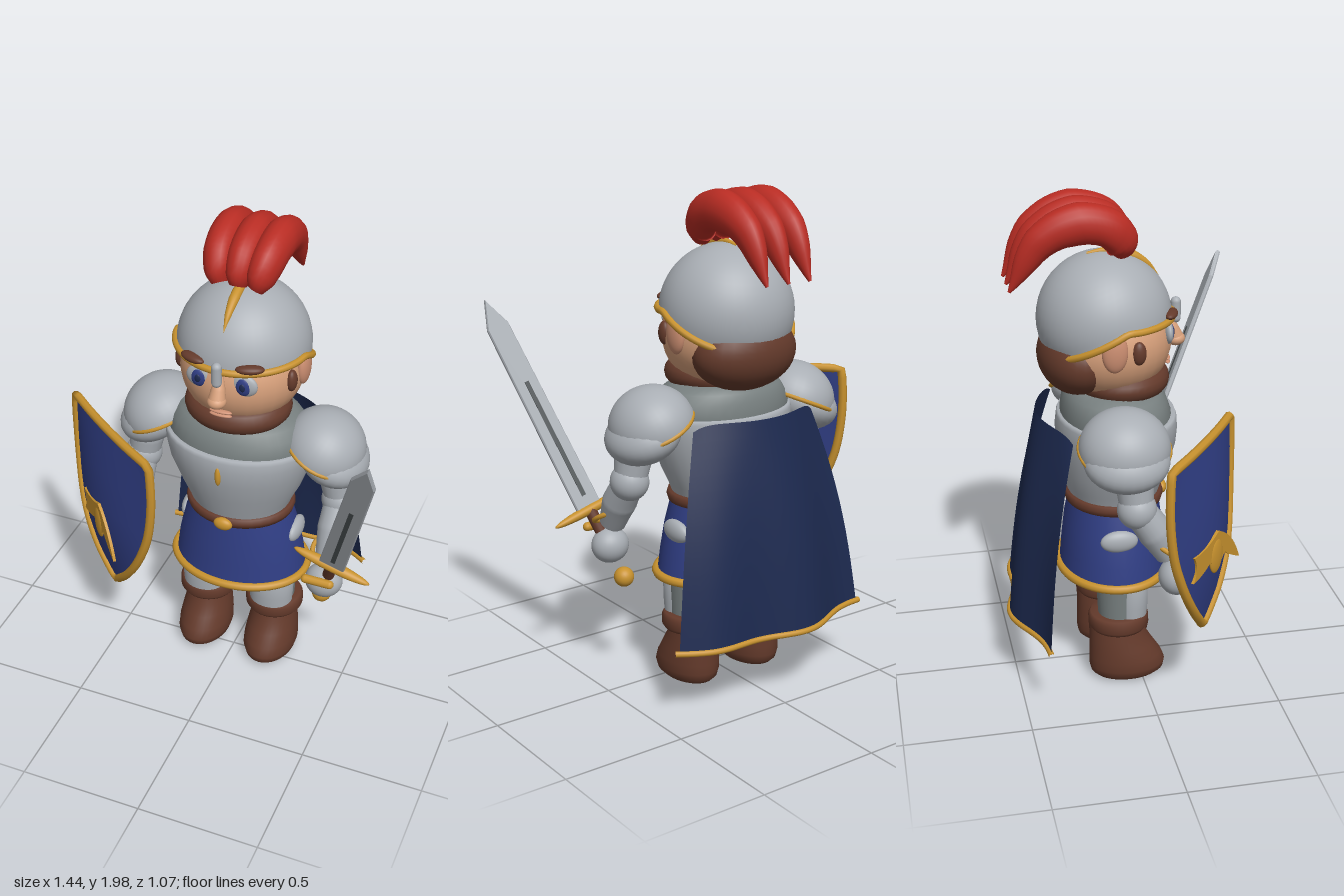
import * as THREE from 'three';
import { mergeVertices } from 'three/addons/utils/BufferGeometryUtils.js';

const mat = (name, color, side = THREE.FrontSide) =>
  Object.assign(new THREE.MeshStandardMaterial({ color, side }), { name });
const V = (x, y, z) => new THREE.Vector3(x, y, z);

// Smooth surface from a rule f(u, v) -> Vector3; seams are welded
function surface(f, nu, nv) {
  const g = new THREE.PlaneGeometry(1, 1, nu, nv), p = g.attributes.position;
  for (let i = 0; i < p.count; i++) {
    const q = f(p.getX(i) + 0.5, p.getY(i) + 0.5);
    p.setXYZ(i, q.x, q.y, q.z);
  }
  g.deleteAttribute('uv');
  g.deleteAttribute('normal');
  const m = mergeVertices(g, 1e-5);
  m.computeVertexNormals();
  return m;
}

// Elliptical sections [y, rx, rz, cz], listed bottom to top
function loft(rows) {
  return surface((u, v) => {
    const [y, rx, rz, cz] = rows[Math.round(v * (rows.length - 1))], a = u * Math.PI * 2;
    return V(Math.sin(a) * rx, y, cz + Math.cos(a) * rz);
  }, 36, rows.length - 1);
}

// Round limb along a curve with changing radius
function taper(points, radii, n = 20) {
  const curve = new THREE.CatmullRomCurve3(points), fr = curve.computeFrenetFrames(n);
  return surface((u, v) => {
    const i = Math.round(v * n), a = u * Math.PI * 2, t = v * (radii.length - 1);
    const k = Math.min(Math.floor(t), radii.length - 2);
    const r = THREE.MathUtils.lerp(radii[k], radii[k + 1], t - k);
    return curve.getPoint(i / n).addScaledVector(fr.normals[i], Math.cos(a) * r)
      .addScaledVector(fr.binormals[i], Math.sin(a) * r);
  }, 18, n);
}

const tube = (pts, r, closed = false) =>
  new THREE.TubeGeometry(new THREE.CatmullRomCurve3(pts, closed), pts.length * 3, r, 8, closed);

export function createModel() {
  const steel = mat('steel', 0xa9aeb4, THREE.DoubleSide), mail = mat('dark steel', 0x788080);
  const gold = mat('gold', 0xc8922e), blue = mat('shield blue', 0x303e84, THREE.DoubleSide);
  const navy = mat('cape navy', 0x1d2a50, THREE.DoubleSide), brown = mat('brown', 0x643a2b);
  const red = mat('plume red', 0xb82c23), skin = mat('skin', 0xd7a07b);
  const rose = mat('rose skin', 0xcd8f72), dark = mat('groove grey', 0x4a5052);

  const root = new THREE.Group();
  const add = (name, geo, m, x = 0, y = 0, z = 0, parent = root) => {
    const mesh = new THREE.Mesh(geo, m);
    mesh.name = name;
    mesh.position.set(x, y, z);
    parent.add(mesh);
    return mesh;
  };
  const ball = (name, m, x, y, z, rx, ry = rx, rz = rx, parent = root) => {
    const b = add(name, new THREE.SphereGeometry(1, 28, 20), m, x, y, z, parent);
    b.scale.set(rx, ry, rz);
    return b;
  };
  const ring = (y, rx, rz, cz, n = 24) => Array.from({ length: n }, (_, i) =>
    V(Math.sin(i / n * Math.PI * 2) * rx, y, cz + Math.cos(i / n * Math.PI * 2) * rz));

  // Torso, belt and skirt
  add('breastplate', loft([[.77, .2, .175, -.08], [.83, .222, .195, -.08], [.9, .255, .215, -.078], [1.0, .29, .237, -.07],
    [1.07, .304, .24, -.067], [1.11, .308, .236, -.066], [1.125, .302, .23, -.066], [1.125, .27, .2, -.07]]), steel);
  add('mailCollar', loft([[1.08, .285, .215, -.07], [1.13, .295, .217, -.07], [1.18, .28, .205, -.075],
    [1.215, .25, .185, -.08], [1.24, .195, .15, -.09], [1.25, 0, 0, -.09]]), mail);
  ball('chestOrnament', gold, 0, 1.045, .167, .013, .045, .014);
  add('skirt', loft([[.46, .28, .215, -.085], [.55, .268, .207, -.085], [.66, .245, .197, -.083], [.77, .21, .18, -.08]]), blue);
  add('skirtHem', tube(ring(.465, .285, .218, -.085), .018, true), gold);
  add('belt', loft([[.755, .2, .17, -.08], [.755, .222, .194, -.08], [.775, .228, .2, -.08], [.795, .222, .194, -.08], [.795, .19, .17, -.08]]), brown);
  ball('buckle', gold, 0, .77, .118, .04, .028, .022);

  // Head
  ball('head', skin, 0, 1.42, -.1, .245, .22, .25);
  ball('hair', brown, 0, 1.37, -.222, .225, .15, .152);
  const beard = add('beard', new THREE.TorusGeometry(1, .3, 14, 40), brown, 0, 1.267, -.05);
  beard.rotation.x = Math.PI / 2;
  beard.scale.set(.165, .148, .165);
  ball('chin', brown, 0, 1.26, -.03, .17, .045, .15);
  add('nose', taper([V(0, 1.5, .135), V(0, 1.45, .155), V(0, 1.4, .172)], [.012, .027, .036]), skin);
  ball('noseTip', skin, 0, 1.403, .172, .037, .028, .038);
  for (const y of [1.318, 1.333]) ball('lip', rose, 0, y, .134, .046, .008, .014);
  for (const s of [-1, 1]) {
    ball('eye', steel, s * .09, 1.465, .12, .054, .047, .02);
    ball('iris', blue, s * .09, 1.463, .13, .032, .038, .014);
    ball('pupil', navy, s * .09, 1.465, .14, .013, .018, .007);
    ball('eyebrow', brown, s * .115, 1.545, .127, .055, .017, .026).rotation.y = s * .35;
    ball('sideburn', brown, s * .228, 1.435, -.02, .022, .046, .028);
    ball('ear', rose, s * .242, 1.45, -.115, .027, .08, .05);
  }

  // Helmet: round dome whose rim drops towards the nape
  const hc = V(0, 1.512, -.111), hr = .262;
  const rimY = a => {
    let y = 1.525;
    for (let i = 0; i < 16; i++) {
      const z = hc.z + Math.sqrt(hr * hr - (y - hc.y) ** 2) * Math.cos(a);
      y = 1.525 - Math.max(0, -.07 - z) * .53;
    }
    return y;
  };
  const onHelmet = (a, th, r = hr) =>
    V(Math.sin(a) * Math.sin(th) * r, Math.cos(th) * r, Math.cos(a) * Math.sin(th) * r).add(hc);
  const rimTheta = a => Math.acos((rimY(a) - hc.y) / hr);
  add('helmet', surface((u, v) => onHelmet(u * Math.PI * 2, (1 - v) * rimTheta(u * Math.PI * 2)), 48, 16), steel);
  add('helmetRim', tube(Array.from({ length: 36 }, (_, i) =>
    onHelmet(i / 18 * Math.PI, rimTheta(i / 18 * Math.PI), .266)), .014, true), gold);
  add('helmetCrest', taper([.95, .7, .45, .2, 0, -.25].map(t => onHelmet(0, t, .262)),
    [.001, .013, .02, .02, .012, .006]), gold);
  add('nasalGuard', new THREE.CapsuleGeometry(.02, .065, 6, 14), steel, 0, 1.52, .172);

  // Plume of three feathers, each narrower than it is deep
  for (const x of [-.1, 0, .1]) {
    const feather = add('plumeFeather', taper([V(-x * .4, 1.785, -.04), V(-x * .1, 1.865, -.08), V(0, 1.91, -.2),
      V(0, 1.85, -.36), V(0, 1.665, -.485)], [.04, .07, .078, .083, .086, .08, .068, .045, .006], 28), red, x);
    feather.scale.x = .78;
  }

  for (const s of [-1, 1]) {
    // Legs and boots
    const leg = new THREE.Group();
    leg.name = s > 0 ? 'leftLeg' : 'rightLeg';
    leg.position.x = s * .152;
    root.add(leg);
    add('legMail', new THREE.CylinderGeometry(.1, .085, .3, 28), mail, 0, .41, -.085, leg);
    add('greave', loft([[.27, .09, .07, -.045], [.34, .095, .075, -.045], [.42, .098, .075, -.045], [.44, .085, .06, -.05], [.45, 0, 0, -.05]]), steel, 0, 0, 0, leg);
    ball('kneeCap', steel, 0, .45, -.04, .09, .05, .065, leg);
    add('boot', loft([[.006, 0, 0, -.06], [.007, .06, .1, -.055], [.014, .086, .13, -.054], [.032, .104, .15, -.053], [.06, .112, .156, -.054],
      [.1, .111, .148, -.062], [.15, .104, .131, -.078], [.2, .095, .116, -.093], [.25, .088, .11, -.1]]), brown, 0, 0, 0, leg);
    add('bootCuff', loft([[.235, .08, .08, -.09], [.235, .112, .112, -.09], [.25, .122, .122, -.09], [.285, .122, .122, -.09],
      [.3, .112, .112, -.09], [.3, .08, .08, -.09]]), brown, 0, 0, 0, leg);
    ball('hipPlate', steel, s * .235, .655, -.1, .03, .046, .075);

    // Shoulder plates: two tilted shells, the upper one gold edged
    const shoulder = new THREE.Group();
    shoulder.name = 'shoulderArmour';
    shoulder.position.set(s * .345, 1.105, -.1);
    shoulder.rotation.z = -s * .42;
    root.add(shoulder);
    add('upperPlate', new THREE.SphereGeometry(.175, 32, 14, 0, Math.PI * 2, 0, Math.PI / 2), steel, 0, 0, 0, shoulder).scale.set(.95, .88, 1);
    const edge = add('plateEdge', new THREE.TorusGeometry(.172, .009, 8, 40), gold, 0, 0, 0, shoulder);
    edge.rotation.x = Math.PI / 2;
    edge.scale.x = .93;
    ball('lowerPlate', steel, s * .05, -.01, 0, .145, .1, .165, shoulder);

    // Arms
    add('upperArm', taper([V(s * .4, 1.08, -.08), V(s * .415, .98, -.075), V(s * .43, .88, -.07)], [.066, .073, .062]), steel);
    ball('elbow', steel, s * .43, .89, -.07, .076);
    add('forearm', taper([V(s * .43, .88, -.06), V(s * .432, .79, 0), V(s * .43, .69, .055)], [.062, .068, .052]), steel);
    const cuff = add('wristRing', new THREE.TorusGeometry(.07, .01, 8, 32), gold, s * .435, .72, .055);
    cuff.rotation.x = Math.PI / 2 + .55;
    ball('gauntlet', steel, s * .425, .585, .085, .077, .072, .068);
    const bar = add('handBar', new THREE.CapsuleGeometry(.018, .1, 5, 12), gold, s * .425, .645, s > 0 ? .172 : .105);
    bar.rotation.z = Math.PI / 2;
  }

  // Sword, built upright and then turned into the left hand
  const sword = new THREE.Group();
  sword.name = 'sword';
  root.add(sword);
  const sx = V(.956, -.293, 0), sy = V(.25, .88, .413).normalize();
  const sz = sx.clone().cross(sy).normalize();
  sx.copy(sy).cross(sz);
  sword.quaternion.setFromRotationMatrix(new THREE.Matrix4().makeBasis(sx, sy, sz));
  sword.position.set(.475, .725, .15);
  const outline = new THREE.Shape([[-.05, 0], [.05, 0], [.043, .8], [0, .91], [-.043, .8]].map(p => new THREE.Vector2(...p)));
  add('blade', new THREE.ExtrudeGeometry(outline, { depth: .008, bevelThickness: .006, bevelSize: .004, bevelSegments: 1 }), steel, 0, 0, -.004, sword);
  add('bladeGroove', new THREE.BoxGeometry(.018, .5, .025), dark, 0, .31, 0, sword);
  ball('crossGuard', gold, 0, 0, 0, .165, .02, .024, sword);
  add('grip', new THREE.CylinderGeometry(.024, .024, .2, 16), brown, 0, -.1, 0, sword);
  ball('pommel', gold, 0, -.3, 0, .04, .04, .04, sword);

  // Shield on the right arm, bulging most at mid height
  const shield = new THREE.Group();
  shield.name = 'shield';
  shield.position.set(-.452, 0, .17);
  shield.rotation.y = -.62;
  root.add(shield);
  const side = [[.39, .01], [.43, .055], [.5, .125], [.6, .2], [.7, .25], [.8, .282], [.95, .302], [1.08, .302], [1.15, .292]];
  const onShield = (u, y) => V(u, y + (y > 1.1 ? .008 * (1 - (u / .3) ** 2) : 0),
    (1 - (u / .31) ** 2) * (.02 + .045 * Math.sin(Math.PI * (y - .39) / .76)));
  add('shieldFace', surface((u, v) => {
    const [y, w] = side[Math.round(v * (side.length - 1))];
    return onShield((u * 2 - 1) * w, y);
  }, 20, side.length - 1), blue, 0, 0, 0, shield);
  const rim = [...side.map(([y, w]) => onShield(w, y)), ...[.28, .15, 0, -.15, -.28].map(u => onShield(u, 1.152)),
    ...side.slice().reverse().map(([y, w]) => onShield(-w, y))];
  add('shieldRim', tube(rim, .018, true), gold, 0, 0, 0, shield);

  // Winged emblem, tilted a little off the shield
  const emblem = new THREE.Group();
  emblem.name = 'emblem';
  emblem.position.set(-.015, .705, .066);
  emblem.rotation.y = -.16;
  shield.add(emblem);
  const wings = new THREE.Shape();
  wings.moveTo(-.17, -.045);
  wings.quadraticCurveTo(-.13, .0, -.165, .06);
  wings.quadraticCurveTo(-.07, .055, .01, .1);
  wings.quadraticCurveTo(.12, .05, .175, -.08);
  wings.quadraticCurveTo(.1, -.045, .06, -.01);
  wings.lineTo(.01, -.06);
  wings.lineTo(-.05, -.01);
  wings.quadraticCurveTo(-.1, -.04, -.17, -.045);
  add('wings', new THREE.ExtrudeGeometry(wings, { depth: .012, bevelEnabled: false }), gold, 0, 0, 0, emblem);
  ball('emblemBody', gold, 0, 0, .006, .045, .075, .014, emblem);

  // Cape, wider and further back at the hem, with rounded upper corners
  const capePoint = (u, v) => {
    const t = u * 2 - 1, belly = Math.sin(v * Math.PI);
    const w = THREE.MathUtils.lerp(.44, .285, v) + .018 * belly;
    const wave = .02 * Math.sin(t * Math.PI * 2) * (1 - v);
    return V(t * w, THREE.MathUtils.lerp(.3, 1.14, v) - .03 * v ** 4 * t ** 8,
      THREE.MathUtils.lerp(-.41, -.285, v) - .1 * Math.cos(t * Math.PI / 2) + wave - .018 * belly);
  };
  add('cape', surface(capePoint, 28, 14), navy);
  add('capeHem', tube(Array.from({ length: 15 }, (_, i) => capePoint(i / 14 * 1.03 - .015, 0)), .012), gold);
  return root;
}
